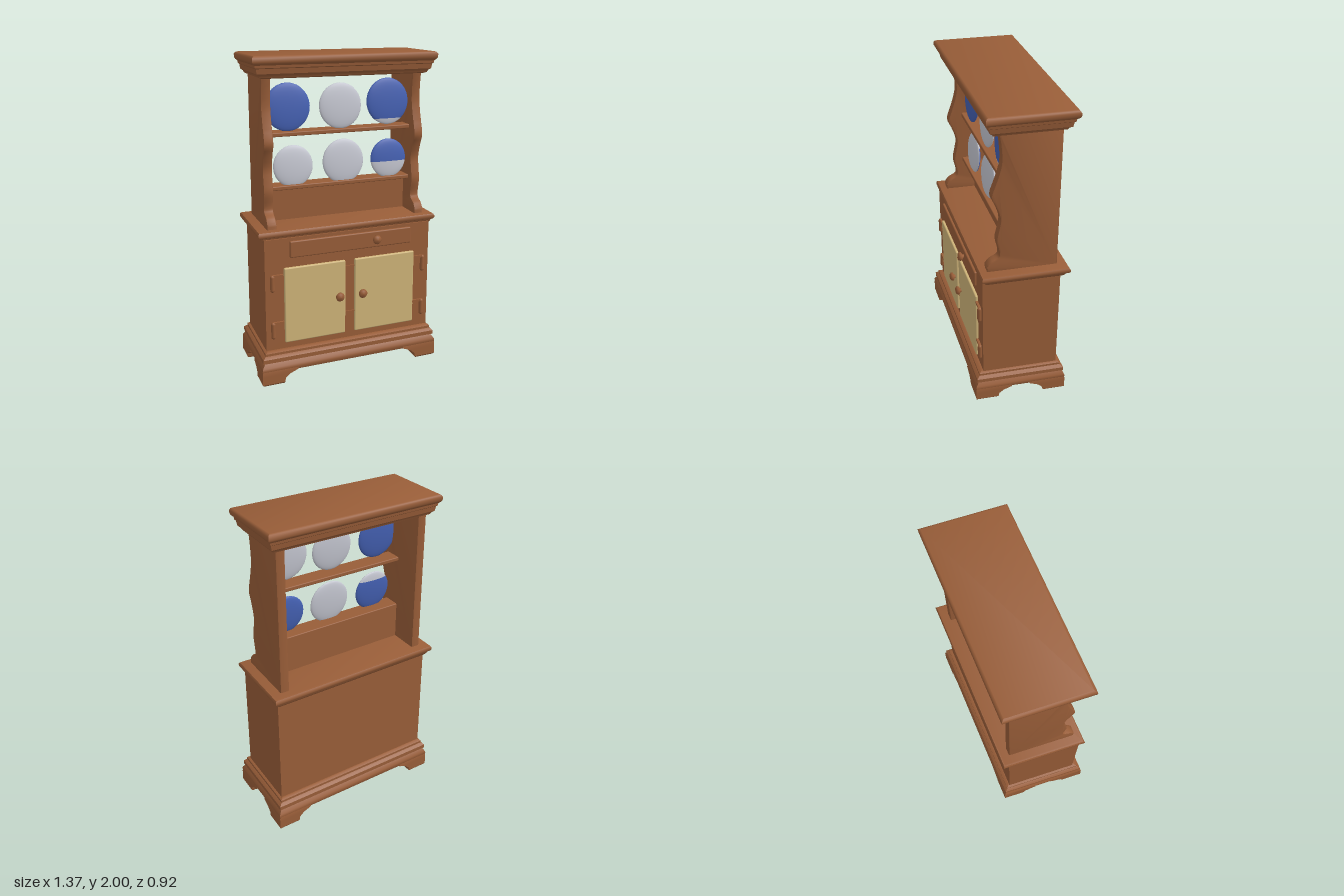
import * as THREE from 'three';
import { toCreasedNormals } from 'three/addons/utils/BufferGeometryUtils.js';
import { RoundedBoxGeometry } from 'three/addons/geometries/RoundedBoxGeometry.js';

const mat = (name, color) => {
  const m = new THREE.MeshStandardMaterial({ color });
  m.name = name;
  return m;
};

export function createModel() {
  const wood = mat('brown wood', 0x985d38);
  const tan = mat('tan door', 0xcfb479);
  const blue = mat('blue china', 0x4460b2);
  const white = mat('white china', 0xc4c6d0);

  const model = new THREE.Group();
  model.name = 'hutch';

  // The cabinet stands turned and slightly skewed on its footprint
  const stance = new THREE.Matrix4().makeBasis(
    new THREE.Vector3(0.949, 0, 0.316), new THREE.Vector3(0, 1, 0), new THREE.Vector3(-0.393, 0, 0.92));
  const add = (name, geo, material) => {
    geo.applyMatrix4(stance);
    const mesh = new THREE.Mesh(geo, material);
    mesh.name = name;
    model.add(mesh);
    return mesh;
  };

  // Box from its limits, optionally with rounded edges
  const box = (name, x0, x1, y0, y1, z0, z1, material = wood, r = 0) => {
    const s = [x1 - x0, y1 - y0, z1 - z0];
    const g = r ? new RoundedBoxGeometry(...s, 2, r) : new THREE.BoxGeometry(...s);
    g.translate((x0 + x1) / 2, (y0 + y1) / 2, (z0 + z1) / 2);
    return add(name, g, material);
  };

  // Stack of rectangular rings: each ring is [y, x0, x1, z0, z1]
  const stack = (name, rings) => {
    const pos = [], idx = [];
    for (const [y, x0, x1, z0, z1] of rings) pos.push(x0, y, z1, x1, y, z1, x1, y, z0, x0, y, z0);
    const n = rings.length;
    for (let i = 0; i < n - 1; i++) {
      for (let j = 0; j < 4; j++) {
        const a = i * 4 + j, b = i * 4 + (j + 1) % 4;
        idx.push(a, b, b + 4, a, b + 4, a + 4);
      }
    }
    const t = (n - 1) * 4;
    idx.push(0, 2, 1, 0, 3, 2, t, t + 1, t + 2, t, t + 2, t + 3);
    const g = new THREE.BufferGeometry();
    g.setAttribute('position', new THREE.Float32BufferAttribute(pos, 3));
    g.setIndex(idx);
    return add(name, toCreasedNormals(g, 0.6), wood);
  };
  // Moulding: a footprint grown outwards by an offset at each height
  const moulding = (name, hx, z0, z1, profile) =>
    stack(name, profile.map(([y, o]) => [y, -hx - o, hx + o, z0 - o, z1 + o]));

  // Lower cabinet
  box('cabinetBody', -0.56, 0.56, 0.2, 0.92, -0.242, 0.235);
  moulding('baseMoulding', 0.56, -0.25, 0.25, [
    [0.08, 0.035], [0.1, 0.043], [0.115, 0.04], [0.14, 0.022], [0.145, 0.033], [0.17, 0.033],
    [0.18, 0.022], [0.185, 0.014], [0.2, 0.014], [0.21, -0.004]]);
  moulding('counterTop', 0.56, -0.255, 0.21, [
    [0.9, 0], [0.915, 0.012], [0.93, 0.018], [0.935, 0.03], [0.945, 0.036], [0.958, 0.036],
    [0.968, 0.03], [0.972, 0.02]]);

  // Bracket feet, flaring inwards towards the base
  for (const sx of [-1, 1]) for (const sz of [-1, 1]) {
    const ring = (y, outer, inner) => {
      const x = [sx * (0.603 - outer), sx * (0.603 - inner)].sort((a, b) => a - b);
      const z = [sz * (0.293 - outer), sz * (0.293 - inner)].sort((a, b) => a - b);
      return [y, ...x, ...z];
    };
    stack('foot', [ring(0, 0.008, 0.14), ring(0.01, 0, 0.145), ring(0.035, 0, 0.15), ring(0.06, 0, 0.18),
      ring(0.082, 0, 0.235), ring(0.1, 0.004, 0.235), ring(0.12, 0.03, 0.235)]);
  }

  // Drawer, doors, knobs and hinges
  box('drawer', -0.4, 0.425, 0.795, 0.9, 0.2, 0.25, wood, 0.008);
  box('leftDoor', 0.03, 0.45, 0.25, 0.735, 0.2, 0.252, tan, 0.008);
  box('rightDoor', -0.44, -0.034, 0.25, 0.735, 0.2, 0.252, tan, 0.008);
  for (const [x, y] of [[0.175, 0.85], [-0.078, 0.505], [0.08, 0.505]]) {
    const knob = new THREE.LatheGeometry([[0.014, 0], [0.012, 0.012], [0.027, 0.02], [0.029, 0.03], [0.02, 0.041],
      [0, 0.045]].map(p => new THREE.Vector2(...p)), 14);
    knob.rotateX(Math.PI / 2).translate(x, y, 0.245);
    add('knob', knob, wood);
  }
  for (const y of [0.395, 0.7]) {
    for (const s of [-1, 1]) {
      const pin = new THREE.CapsuleGeometry(0.015, 0.08, 4, 8);
      pin.translate(s * 0.515, y - 0.055, 0.243);
      add('hingePin', pin, wood);
      const x = [s * 0.515, s * 0.445].sort((a, b) => a - b);
      box('hingeStrap', x[0], x[1], y - 0.018, y - 0.002, 0.23, 0.25);
    }
    box('doorCatch', -0.04, 0.036, y - 0.012, y - 0.004, 0.23, 0.244);
  }

  // Upper side panels with a wavy front edge
  const wave = [[0.2, 1.0], [0.177, 1.03], [0.13, 1.06], [0.123, 1.1], [0.139, 1.18], [0.128, 1.25],
    [0.117, 1.33], [0.145, 1.42], [0.17, 1.48], [0.15, 1.55], [0.128, 1.62], [0.112, 1.7],
    [0.117, 1.8], [0.128, 1.87]].map(p => new THREE.Vector2(...p));
  for (const s of [-1, 1]) {
    const shape = new THREE.Shape();
    shape.moveTo(-0.222, 0.965);
    shape.lineTo(0.192, 0.965);
    shape.lineTo(0.192, 1.0);
    shape.splineThru(wave.map(p => new THREE.Vector2(p.x - 0.008, p.y)));
    shape.lineTo(-0.222, 1.87);
    const g = new THREE.ExtrudeGeometry(shape, {
      depth: 0.044, bevelThickness: 0.008, bevelSize: 0.008, bevelSegments: 2, curveSegments: 3 });
    // Extrusion runs sideways, shape x becomes depth
    g.translate(0, 0, -0.022).rotateY(-Math.PI / 2).translate(s * 0.5, 0, 0);
    add('sidePanel', toCreasedNormals(g, 0.7), wood);
  }

  // Shelves and low back board
  box('upperShelf', -0.48, 0.48, 1.51, 1.536, -0.035, 0.085, wood, 0.006);
  box('lowerShelf', -0.48, 0.48, 1.18, 1.206, -0.035, 0.085, wood, 0.006);
  box('backBoard', -0.48, 0.48, 0.965, 1.19, -0.035, 0.005);

  // Cornice
  moulding('cornice', 0.53, -0.225, 0.15, [
    [1.865, 0.0], [1.872, 0.018], [1.885, 0.024], [1.895, 0.038], [1.925, 0.043], [1.93, 0.05],
    [1.945, 0.052], [1.955, 0.064], [1.965, 0.07], [1.985, 0.07], [1.995, 0.064], [2.0, 0.054]]);

  // Plates: shallow domes, each face split at an angle from the top into two colours
  const plate = (x, y, r, front, back) => {
    [front, back].forEach(([upper, lower, split], i) => {
      const cut = split * Math.PI;
      for (const [m, start, len] of [[upper, 0, cut], [lower, cut, Math.PI - cut]]) {
        if (len < 0.01) continue;
        const g = new THREE.SphereGeometry(1, 14, 14, i * Math.PI, Math.PI, start, len);
        g.scale(r, r, 0.022).rotateX(-0.08).translate(x, y, 0.045);
        add('plate', g, m);
      }
    });
  };
  const allBlue = [blue, blue, 1], allWhite = [white, white, 1];
  plate(-0.348, 1.683, 0.146, allBlue, allBlue);
  plate(0, 1.675, 0.142, allWhite, allWhite);
  plate(0.326, 1.688, 0.146, [blue, white, 0.77], allWhite);
  plate(-0.316, 1.318, 0.13, allWhite, [white, blue, 0.3]);
  plate(0.02, 1.325, 0.14, allWhite, allWhite);
  plate(0.337, 1.32, 0.125, [blue, white, 0.55], allBlue);

  return model;
}
